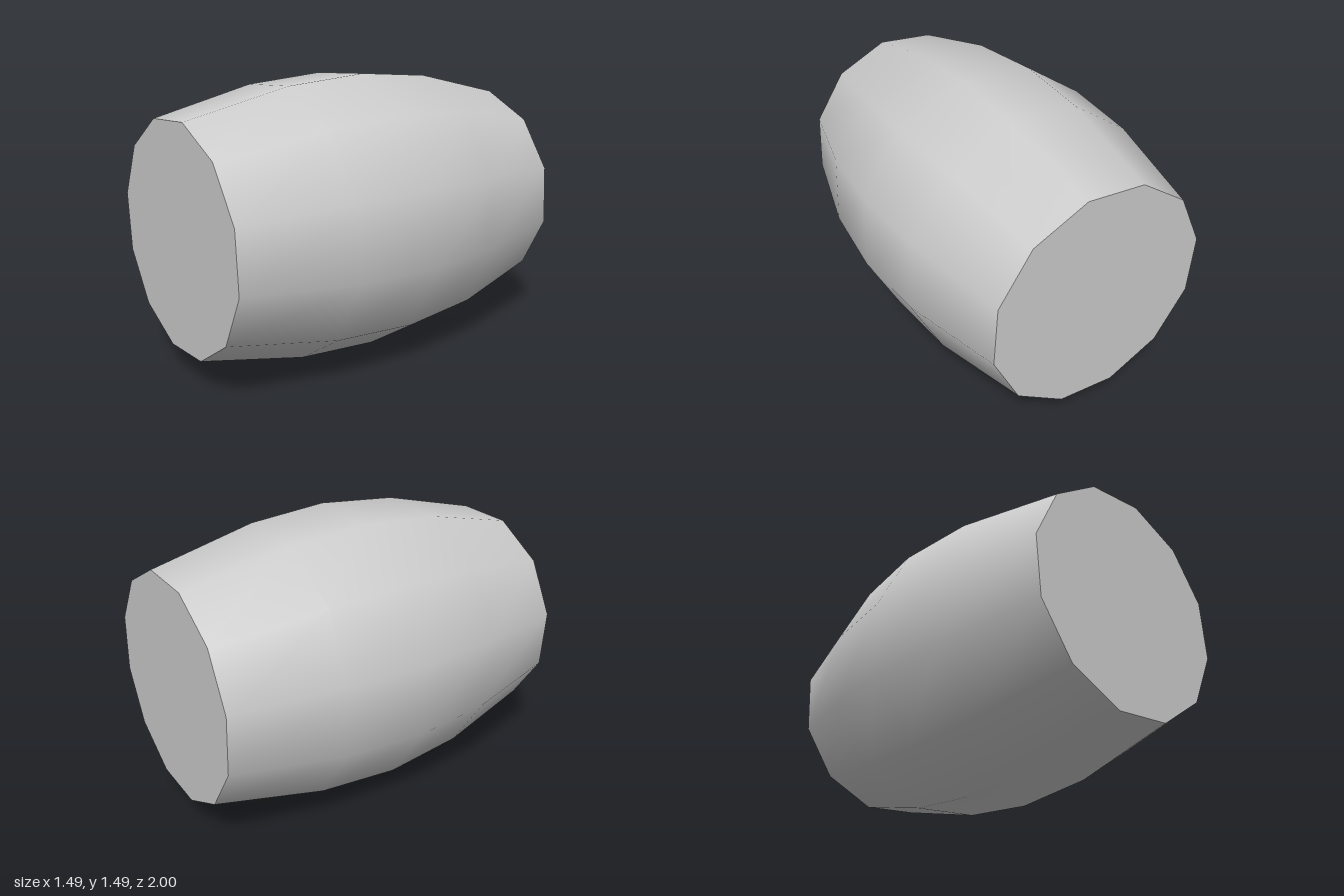
import * as THREE from 'three';

export function createModel() {
  const group = new THREE.Group();
  group.name = 'barrel';
  const material = new THREE.MeshStandardMaterial({ color: 0xcccccc });
  const SIDES = 12, CENTER_Y = 0.75, END_RADIUS = 0.594;
  const deg = THREE.MathUtils.degToRad;

  const add = (name, geometry, z = 0) => {
    const mesh = new THREE.Mesh(geometry, material);
    mesh.name = name;
    mesh.position.set(0, CENTER_Y, z);
    group.add(mesh);
  };

  // Bulging twelve-sided wall, lying along z and rolled slightly
  const profile = [[END_RADIUS, -1], [0.724, -0.44], [0.76, -0.01], [0.724, 0.44], [END_RADIUS, 1]]
    .map(([r, z]) => new THREE.Vector2(r, z));
  const wall = new THREE.LatheGeometry(profile, SIDES, deg(18.5));
  wall.rotateX(Math.PI / 2);
  add('barrelWall', wall);

  // Flat end caps, aligned with the wall's corners
  add('frontCap', new THREE.CircleGeometry(END_RADIUS, SIDES, deg(78.5)), 1);
  add('backCap', new THREE.CircleGeometry(END_RADIUS, SIDES, deg(101.5)).rotateY(Math.PI), -1);

  return group;
}
